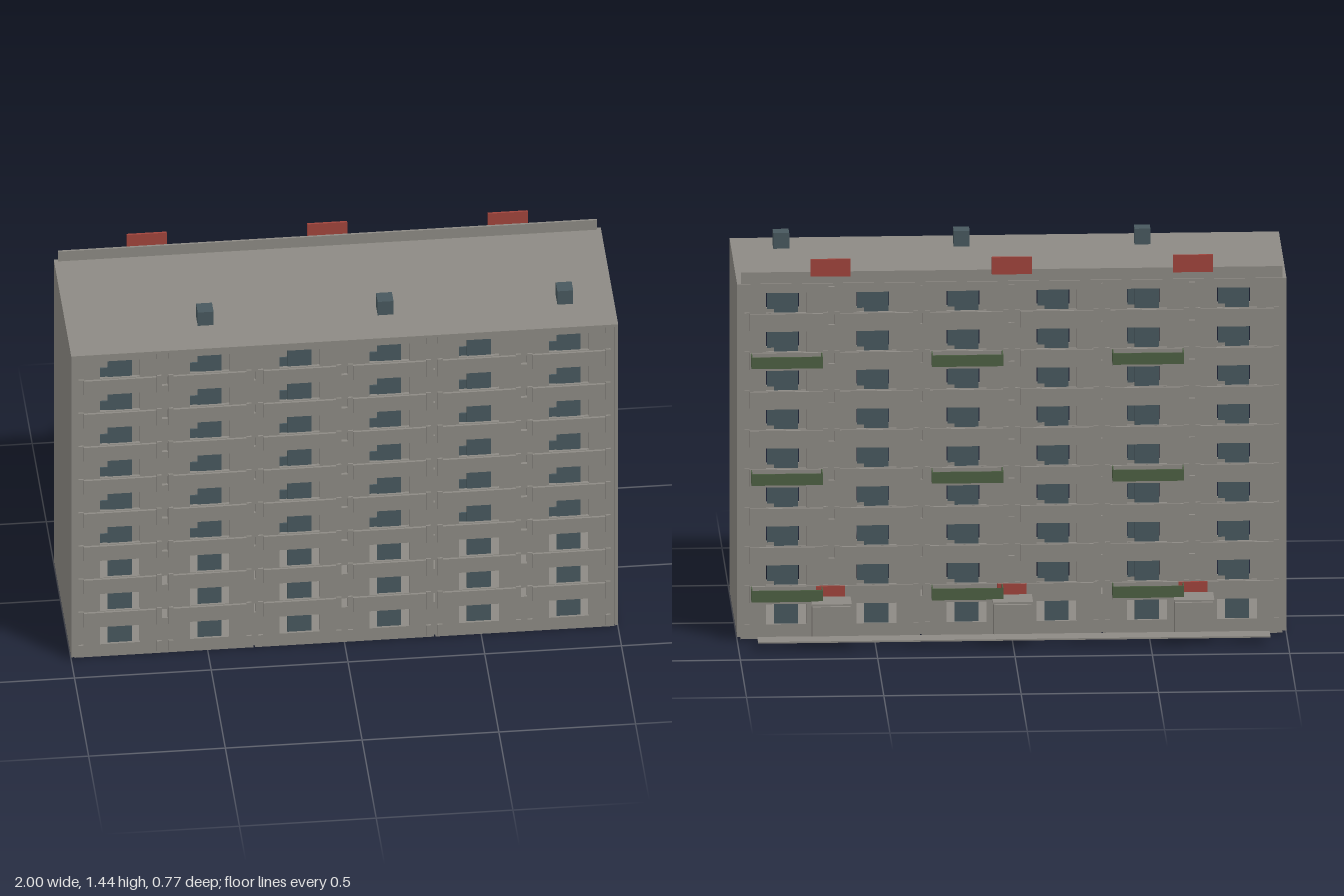
import * as THREE from 'three';

const mat = (name, color) => {
  const m = new THREE.MeshStandardMaterial({ color });
  m.name = name;
  return m;
};

const FLOORS = 9, PITCH = 0.147, BAY = 0.3283;
const BOTTOM = 0.012, TOP = 1.335, FRONT = 0.385, BACK = -0.235;
const bays = [-2.5, -1.5, -0.5, 0.5, 1.5, 2.5].map(i => i * BAY);
const sections = [-0.66, 0, 0.66];

export function createModel() {
  const concrete = mat('concrete grey', 0x8d8a84);
  const slate = mat('slate glass', 0x48585e);
  const red = mat('sign red', 0xa0443c);
  const green = mat('balcony green', 0x4d6043);

  const model = new THREE.Group();
  model.name = 'apartmentBlock';

  // Box given by its lower and upper corners
  function box(parent, name, material, x0, x1, y0, y1, z0, z1) {
    const mesh = new THREE.Mesh(new THREE.BoxGeometry(x1 - x0, y1 - y0, z1 - z0), material);
    mesh.position.set((x0 + x1) / 2, (y0 + y1) / 2, (z0 + z1) / 2);
    mesh.name = name;
    parent.add(mesh);
    return mesh;
  }

  function rect(path, x0, x1, y0, y1) {
    path.moveTo(x0, y0);
    path.lineTo(x1, y0);
    path.lineTo(x1, y1);
    path.lineTo(x0, y1);
    path.closePath();
    return path;
  }

  // Pierced wall: window openings plus slits between the bays
  const wall = rect(new THREE.Shape(), -0.99, 0.99, BOTTOM, TOP);
  for (let f = 0; f < FLOORS; f++) {
    const y = 0.056 + f * PITCH;
    for (const x of bays) {
      wall.holes.push(rect(new THREE.Path(), x - 0.073, x + 0.073, y, y + 0.076));
    }
    for (let i = -2; i <= 2; i++) {
      const w = i % 2 ? 0.003 : 0.011;
      const x = i * BAY;
      const top = Math.min(y + 0.14, TOP - 0.006);
      wall.holes.push(rect(new THREE.Path(), x - w, x + w, y + 0.1, top).clone());
    }
  }
  // Slits of the middle boundaries line up with the section centres
  const wallGeometry = new THREE.ExtrudeGeometry(wall, { depth: 0.012, bevelEnabled: false });

  // One facade, built facing +z with its outer plane at z = 0
  function facade(name) {
    const group = new THREE.Group();
    group.name = name;
    const panel = new THREE.Mesh(wallGeometry, concrete);
    panel.name = 'piercedWall';
    panel.position.z = -0.021;
    group.add(panel);

    for (let f = 0; f < FLOORS; f++) {
      const y = 0.056 + f * PITCH;
      for (const x of bays) {
        box(group, 'window', slate, x - 0.044, x + 0.044, y - 0.002, y + 0.078, -0.026, -0.018);
        if (f < FLOORS - 1) {
          box(group, 'spandrelBand', concrete, x - 0.133, x + 0.133, y + 0.082, y + 0.145, -0.01, 0);
        }
      }
    }
    // Short pilasters flanking every bay boundary, cut at base and eaves
    for (let f = -1; f < FLOORS; f++) {
      const y0 = Math.max(BOTTOM, 0.13 + f * PITCH);
      const y1 = Math.min(TOP, 0.206 + f * PITCH);
      for (const x of bays) {
        for (const s of [-1, 1]) {
          const cx = x + s * (BAY / 2 - 0.021);
          box(group, 'pilaster', concrete, cx - 0.009, cx + 0.009, y0, y1, -0.01, -0.002);
        }
      }
    }
    return group;
  }

  const front = facade('frontFacade');
  front.position.z = FRONT;
  const back = facade('backFacade');
  back.rotation.y = Math.PI;
  back.position.z = BACK;
  model.add(front, back);

  // Hollow shell: side walls, roof slab and plinth in three sections
  for (const s of [-1, 1]) {
    box(model, s > 0 ? 'leftWall' : 'rightWall', concrete,
      s * 0.994 - 0.006, s * 0.994 + 0.006, BOTTOM, TOP, BACK, FRONT);
  }
  box(model, 'roof', concrete, -1, 1, TOP, 1.345, BACK, FRONT);
  for (const x of sections) {
    box(model, 'plinth', concrete, x - 0.327, x + 0.327, 0, 0.014, -0.222, 0.372);
  }
  box(model, 'parapet', concrete, -0.985, 0.985, 1.34, 1.388, -0.23, -0.222);

  // Entrances with canopies and signs at the back
  for (const x of sections) {
    const x0 = x - 0.073, x1 = x + 0.073;
    box(model, 'roofSign', red, x0, x1, 1.372, 1.437, -0.24, -0.232);
    box(model, 'entrancePorch', concrete, x0 + 0.004, x1 - 0.004, 0.012, 0.145, -0.32, BACK);
    box(model, 'entranceCanopy', concrete, x0, x1, 0.154, 0.161, -0.34, BACK);
    box(model, 'entranceSign', red, x0 + 0.02, x1 - 0.02, 0.163, 0.202, -0.242, -0.234);
  }
  box(model, 'footpath', concrete, -0.935, 0.93, 0.029, 0.035, -0.387, -0.318);

  // Balconies on every third floor, and rooftop vents in the same bays
  for (const x of [-0.495, 0.163, 0.82]) {
    for (const f of [0, 3, 6]) {
      const y = 0.153 + f * PITCH;
      const balcony = new THREE.Group();
      balcony.name = 'balcony';
      box(balcony, 'balconyFloor', concrete, x - 0.13, x + 0.13, y, y + 0.006, -0.295, BACK);
      box(balcony, 'balconyFront', green, x - 0.13, x + 0.13, y + 0.006, y + 0.049, -0.296, -0.291);
      for (const s of [-1, 1]) {
        const cx = x + s * 0.128;
        box(balcony, 'balconySide', green, cx - 0.002, cx + 0.002, y + 0.006, y + 0.049, -0.291, BACK);
      }
      model.add(balcony);
    }
    box(model, 'roofVent', slate, x - 0.029, x + 0.029, 1.356, 1.415, 0.196, 0.254);
  }

  return model;
}
